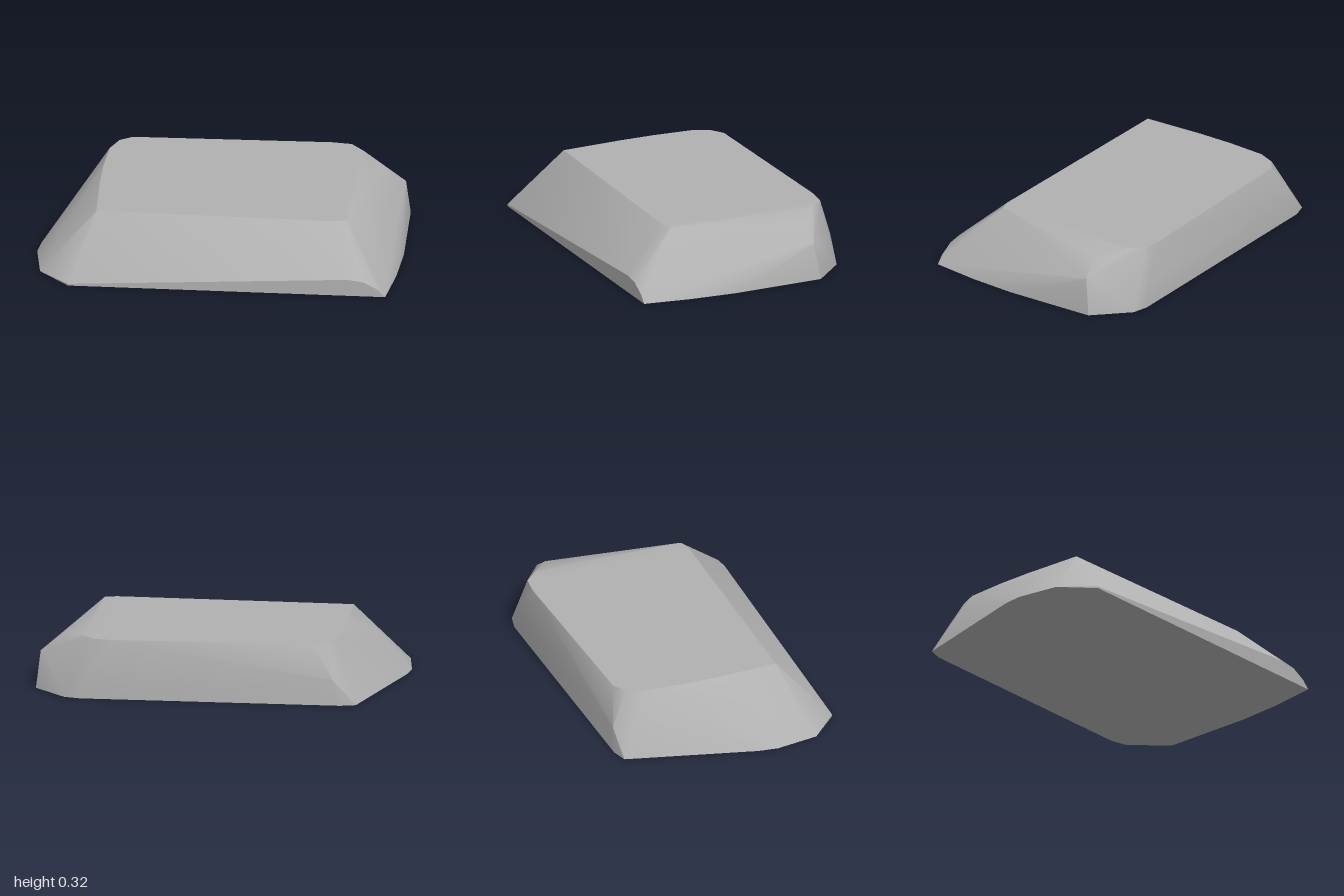
import * as THREE from 'three';
import { ConvexGeometry } from 'three/addons/geometries/ConvexGeometry.js';
import { toCreasedNormals } from 'three/addons/utils/BufferGeometryUtils.js';

const HEIGHT = 0.325;

// Outline of the flat underside, as [x, z]
const base = [
  [-0.8, 0.622], [-0.965, 0.46], [-1, 0.22], [-0.985, 0.11], [-0.785, -0.6], [-0.7, -0.624],
  [0.73, -0.624], [0.82, -0.6], [0.995, -0.42], [1, 0.1], [0.98, 0.36], [0.94, 0.622],
];

// Outline of the flat top, as [x, z]
const top = [
  [-0.665, 0.345], [-0.675, 0], [-0.672, -0.2], [-0.655, -0.42], [-0.61, -0.52], [-0.54, -0.565],
  [0.55, -0.588], [0.66, -0.575], [0.73, -0.5], [0.73, -0.2], [0.705, 0.35], [0.64, 0.37],
];

// Corners on the sides between them, as [x, y, z]
const sides = [
  [-0.8, 0.01, 0.622], [0.73, 0.097, 0.622], [0.82, 0.085, 0.622], [0.9, 0.042, 0.622],
  [-0.84, 0.19, 0.2], [0.87, 0.285, -0.38], [0.972, 0.205, -0.39],
  [-0.66, 0.14, -0.617], [0.7, 0.14, -0.617],
];

export function createModel() {
  const group = new THREE.Group();
  group.name = 'stoneSlab';
  const stone = new THREE.MeshStandardMaterial({ color: 0xb0b0b0 });
  stone.name = 'grey stone';

  // Faceted stone hull, softened across the shallow edges
  const points = [
    ...base.map(([x, z]) => new THREE.Vector3(x, 0, z)),
    ...top.map(([x, z]) => new THREE.Vector3(x, HEIGHT, z)),
    ...sides.map((p) => new THREE.Vector3(...p)),
  ];
  const hull = new ConvexGeometry(points);
  hull.deleteAttribute('normal');
  const slab = new THREE.Mesh(toCreasedNormals(hull, 0.6), stone);
  slab.name = 'slab';
  group.add(slab);
  return group;
}
